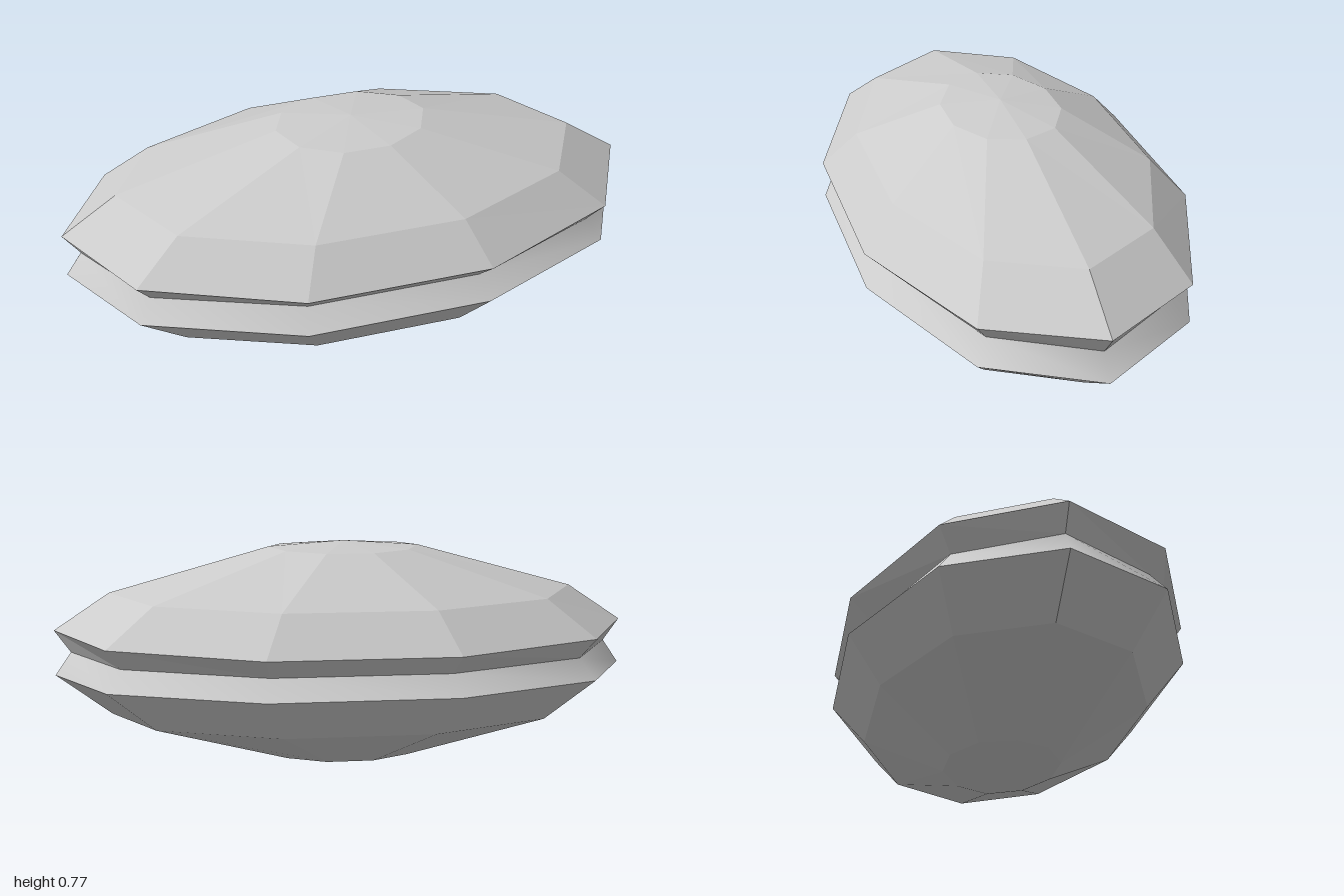
import * as THREE from 'three';

const SIDES = 10;

// Stacks ten-sided oval rings into a skin, listed from bottom to top.
// ring: [x radius, z radius, height at the long sides, height at the tips]
function skin(name, rings, smooth) {
  const pos = [], index = [];
  for (const [rx, rz, ySide, yTip] of rings) {
    for (let i = 0; i < SIDES; i++) {
      const a = (i / SIDES) * Math.PI * 2;
      const y = ySide + (yTip - ySide) * (1 - Math.abs(Math.sin(a)));
      pos.push(rx * Math.cos(a), y, rz * Math.sin(a));
    }
  }
  for (let r = 0; r < rings.length - 1; r++) {
    for (let i = 0; i < SIDES; i++) {
      const j = (i + 1) % SIDES;
      const a = r * SIDES + i, b = r * SIDES + j;
      const c = a + SIDES, d = b + SIDES;
      // rings that close to a point need only one triangle per side
      if (rings[r + 1][0] > 0) index.push(a, c, d);
      if (rings[r][0] > 0) index.push(a, d, b);
      if (rings[r + 1][0] === 0) index.splice(-3, 3, a, c, b);
    }
  }
  let geometry = new THREE.BufferGeometry();
  geometry.setAttribute('position', new THREE.Float32BufferAttribute(pos, 3));
  geometry.setIndex(index);
  if (!smooth) geometry = geometry.toNonIndexed();
  geometry.computeVertexNormals();
  const mesh = new THREE.Mesh(geometry, new THREE.MeshStandardMaterial({
    color: 0xcccccc, flatShading: !smooth, side: THREE.DoubleSide,
  }));
  mesh.name = name;
  return mesh;
}

export function createModel() {
  const group = new THREE.Group();
  group.name = 'facetedShell';

  const groove = [0.945, 0.523, 0.394, 0.396];
  const lowerRim = [1, 0.594, 0.329, 0.316];
  const upperRim = [1, 0.594, 0.46, 0.473];

  // faceted lower half, from its bottom point out to the rim
  group.add(skin('lowerShell', [
    [0, 0, 0.004, 0.004],
    [0.26, 0.2, 0.028, 0.022],
    [0.81, 0.473, 0.184, 0.174],
    lowerRim,
  ], false));

  // smooth slope from the lower rim into the waist groove
  group.add(skin('lowerGrooveSlope', [lowerRim, groove], true));

  // faceted slope from the groove out to the upper rim
  group.add(skin('upperGrooveSlope', [groove, upperRim], false));

  // faceted upper half, from the rim to the top point
  group.add(skin('upperShell', [
    upperRim,
    [0.81, 0.473, 0.59, 0.6],
    [0.26, 0.2, 0.745, 0.752],
    [0, 0, 0.77, 0.77],
  ], false));

  return group;
}
